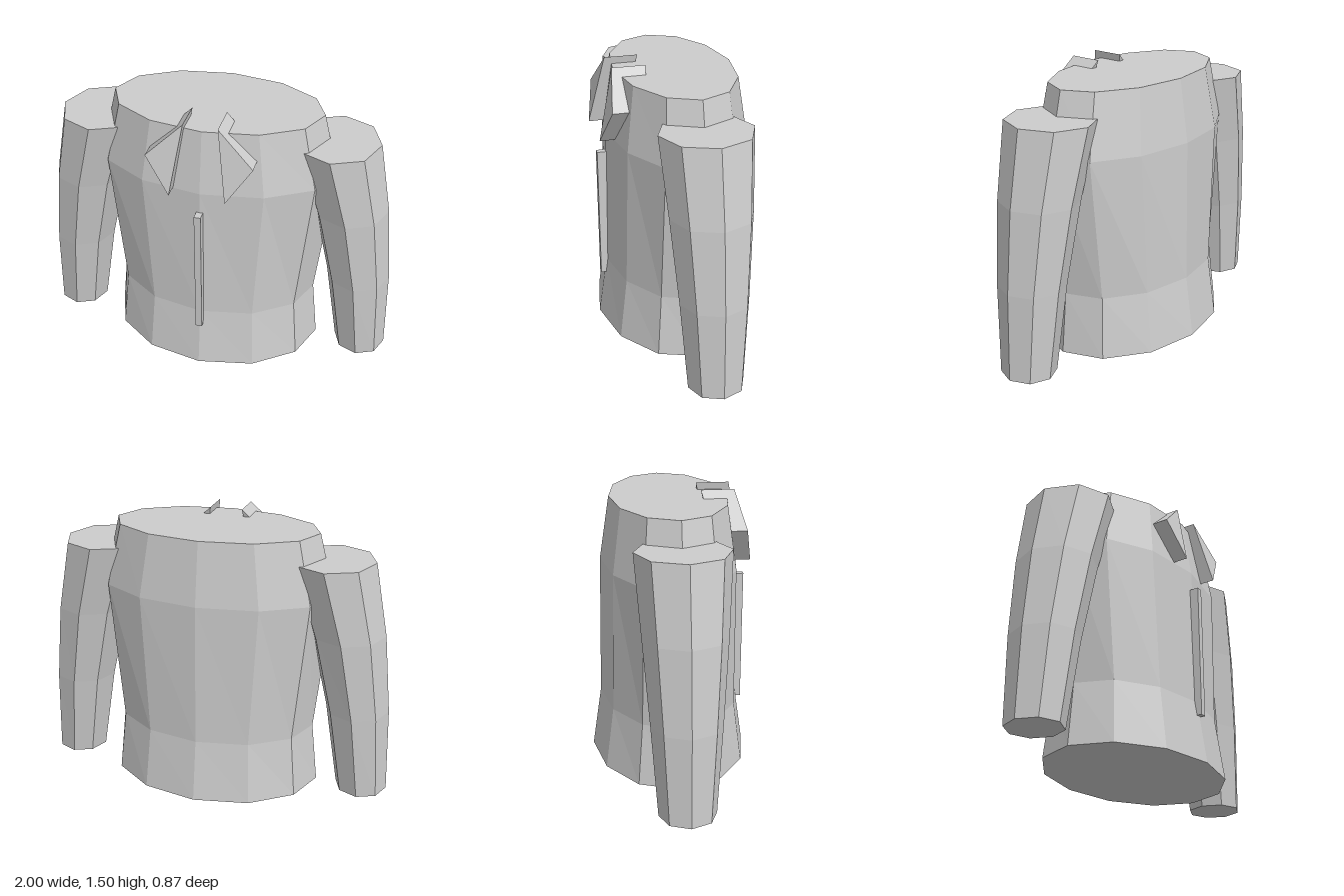
import * as THREE from 'three';

const cloth = new THREE.MeshStandardMaterial({ name: 'light grey cloth', color: 0xcccccc, flatShading: true });

// Closed faceted body through elliptical rings [centreX, y, radiusX, radiusZ], listed bottom to top
function loft(rings, sides) {
  const pos = [];
  const point = ([x, y, rx, rz], i) => {
    const a = (i / sides) * Math.PI * 2;
    return [x + rx * Math.cos(a), y, rz * Math.sin(a)];
  };
  const tri = (...pts) => pts.forEach((p) => pos.push(...p));
  const low = rings[0], high = rings[rings.length - 1];
  for (let i = 0; i < sides; i++) {
    for (let k = 0; k < rings.length - 1; k++) {
      const a = point(rings[k], i), b = point(rings[k + 1], i);
      const c = point(rings[k + 1], i + 1), d = point(rings[k], i + 1);
      tri(a, b, c);
      tri(a, c, d);
    }
    tri([low[0], low[1], 0], point(low, i), point(low, i + 1));
    tri([high[0], high[1], 0], point(high, i + 1), point(high, i));
  }
  const geo = new THREE.BufferGeometry();
  geo.setAttribute('position', new THREE.Float32BufferAttribute(pos, 3));
  geo.computeVertexNormals();
  return geo;
}

// Triangular lapel, leaning back towards the neck by a shear in z
function lapelGeometry(side) {
  const shape = new THREE.Shape([[0.09, 1.5], [0.28, 1.32], [0.147, 1.125]]
    .map(([x, y]) => new THREE.Vector2(side * x, y)));
  const geo = new THREE.ExtrudeGeometry(shape, { depth: 0.18, bevelEnabled: false });
  const p = geo.attributes.position;
  for (let i = 0; i < p.count; i++) {
    p.setZ(i, p.getZ(i) + 0.165 + (1.5 - p.getY(i)) * 0.227);
  }
  geo.computeVertexNormals();
  return geo;
}

export function createModel() {
  const jacket = new THREE.Group();
  jacket.name = 'jacket';
  const add = (name, geo) => {
    const mesh = new THREE.Mesh(geo, cloth);
    mesh.name = name;
    jacket.add(mesh);
    return mesh;
  };

  // Body: flared hem, waist, chest and shoulders
  add('body', loft([
    [0, 0, 0.6, 0.435],
    [0, 0.34, 0.565, 0.385],
    [0, 1.12, 0.65, 0.372],
    [0, 1.46, 0.565, 0.32],
  ], 12));

  // Button strip down the front
  add('buttonStrip', new THREE.BoxGeometry(0.036, 0.745, 0.05)).position.set(0, 0.633, 0.396);

  // Sleeves and lapels, mirrored
  for (const [side, prefix] of [[1, 'left'], [-1, 'right']]) {
    add(prefix + 'Sleeve', loft([
      [side * 0.857, 0.01, 0.143, 0.15],
      [side * 0.81, 0.49, 0.174, 0.184],
      [side * 0.737, 0.93, 0.203, 0.217],
      [side * 0.635, 1.33, 0.23, 0.245],
    ], 8));
    add(prefix + 'Lapel', lapelGeometry(side));
  }
  return jacket;
}
